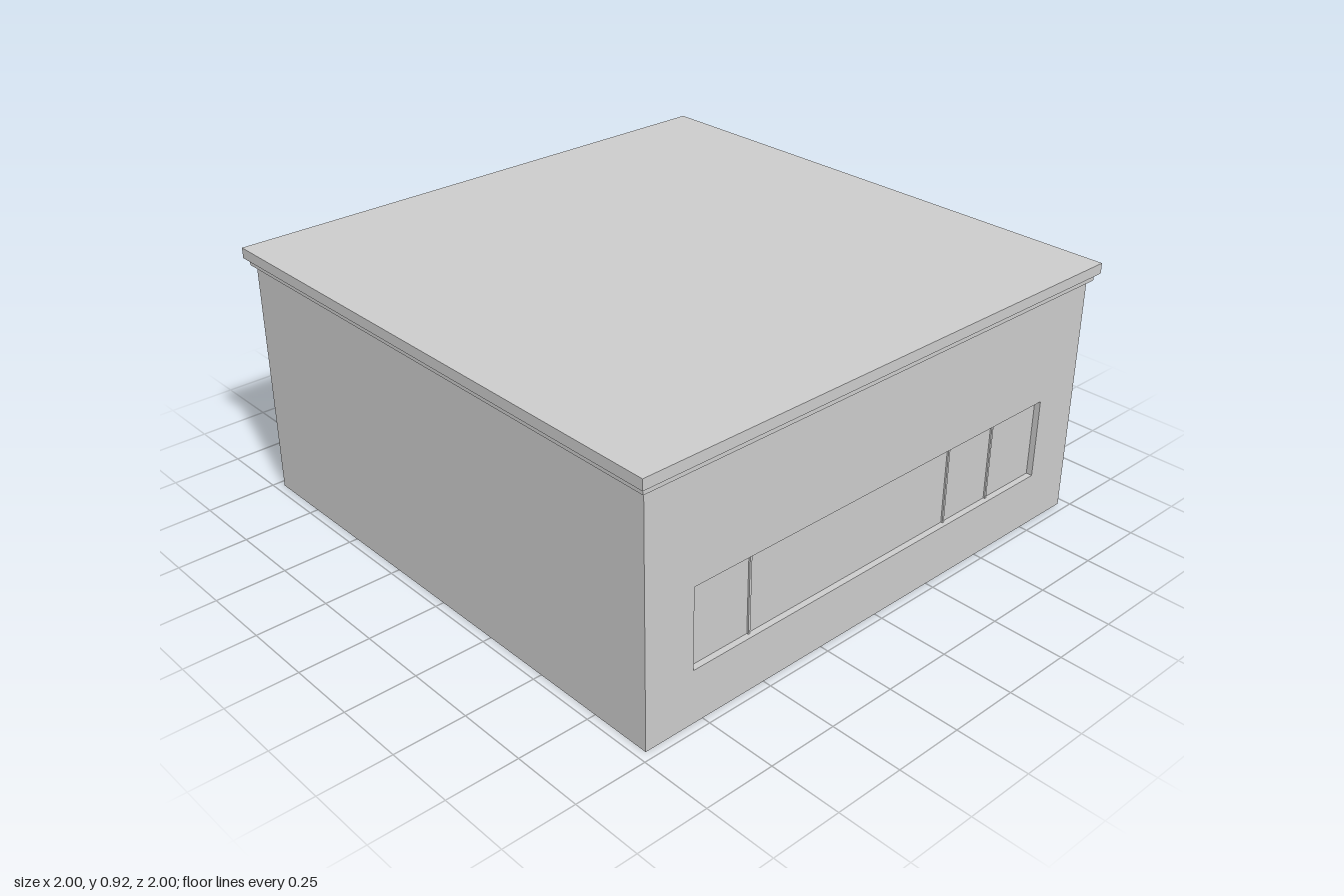
import * as THREE from 'three';

const HALF = 0.97;      // outer half width of the walls
const THICK = 0.03;     // wall thickness
const HEIGHT = 0.86;    // wall height
const RECESS = 0.022;   // depth of panes and door behind the wall face
const material = new THREE.MeshStandardMaterial({ color: 0xcccccc });

function box(parent, name, x0, x1, y0, y1, z0, z1) {
  const mesh = new THREE.Mesh(new THREE.BoxGeometry(x1 - x0, y1 - y0, z1 - z0), material);
  mesh.position.set((x0 + x1) / 2, (y0 + y1) / 2, (z0 + z1) / 2);
  mesh.name = name;
  parent.add(mesh);
  return mesh;
}

// One outer wall facing local +z, with recessed windows and an optional door
function createWall(name, angle, half, windows = [], door = null) {
  const wall = new THREE.Group();
  wall.name = name;
  wall.rotation.y = angle;

  const shape = new THREE.Shape();
  shape.moveTo(-half, 0);
  if (door) {
    shape.lineTo(door.u0, 0);
    shape.lineTo(door.u0, door.top);
    shape.lineTo(door.u1, door.top);
    shape.lineTo(door.u1, 0);
  }
  shape.lineTo(half, 0);
  shape.lineTo(half, HEIGHT);
  shape.lineTo(-half, HEIGHT);
  shape.closePath();

  for (const { u0, u1, y0, y1, bars = [] } of windows) {
    const hole = new THREE.Path();
    hole.moveTo(u0, y0);
    hole.lineTo(u0, y1);
    hole.lineTo(u1, y1);
    hole.lineTo(u1, y0);
    hole.closePath();
    shape.holes.push(hole);

    const pane = HALF - RECESS;
    box(wall, 'windowPane', u0, u1, y0, y1, HALF - THICK, pane);
    for (const u of bars) box(wall, 'windowBar', u - 0.004, u + 0.004, y0, y1, pane, pane + 0.006);
  }

  const panel = new THREE.Mesh(
    new THREE.ExtrudeGeometry(shape, { depth: THICK, bevelEnabled: false }), material);
  panel.position.z = HALF - THICK;
  panel.name = 'wallPanel';
  wall.add(panel);

  if (door) {
    const face = HALF - RECESS;
    box(wall, 'door', door.u0, door.u1, 0, door.top, HALF - THICK, face);
    // Lever handle with a small lock below it
    const u = door.u0 + 0.022;
    box(wall, 'handleStem', u - 0.004, u + 0.004, 0.261, 0.269, face, face + 0.024);
    box(wall, 'handleLever', u - 0.004, u + 0.042, 0.261, 0.269, face + 0.018, face + 0.026);
    const lock = new THREE.Mesh(new THREE.CylinderGeometry(0.006, 0.006, 0.006, 12), material);
    lock.rotation.x = Math.PI / 2;
    lock.position.set(u, 0.235, face + 0.003);
    lock.name = 'doorLock';
    wall.add(lock);
  }
  return wall;
}

export function createModel() {
  const building = new THREE.Group();
  building.name = 'building';
  const inner = HALF - THICK;

  // Outer walls
  building.add(
    createWall('frontWall', 0, HALF),
    createWall('backWall', Math.PI, HALF,
      [{ u0: -0.785, u1: -0.06, y0: 0.19, y1: 0.475, bars: [-0.305] }],
      { u0: 0.075, u1: 0.28, top: 0.51 }),
    createWall('leftWall', Math.PI / 2, inner,
      [{ u0: -0.787, u1: 0.787, y0: 0.19, y1: 0.475, bars: [-0.55, 0.335, 0.555] }]),
    createWall('rightWall', -Math.PI / 2, inner, [
      { u0: -0.815, u1: -0.555, y0: 0.635, y1: 0.73 },
      { u0: -0.435, u1: -0.175, y0: 0.635, y1: 0.73 },
    ]),
  );

  // Partitions enclosing the small corner room
  box(building, 'longPartition', -0.485, -0.455, 0, HEIGHT, -inner, 0.25);
  box(building, 'shortPartition', -inner, -0.485, 0, HEIGHT, 0.22, 0.25);

  // Stepped flat roof
  box(building, 'roofCornice', -0.985, 0.985, HEIGHT, 0.885, -0.985, 0.985);
  box(building, 'roofSlab', -1, 1, 0.885, 0.922, -1, 1);

  return building;
}
